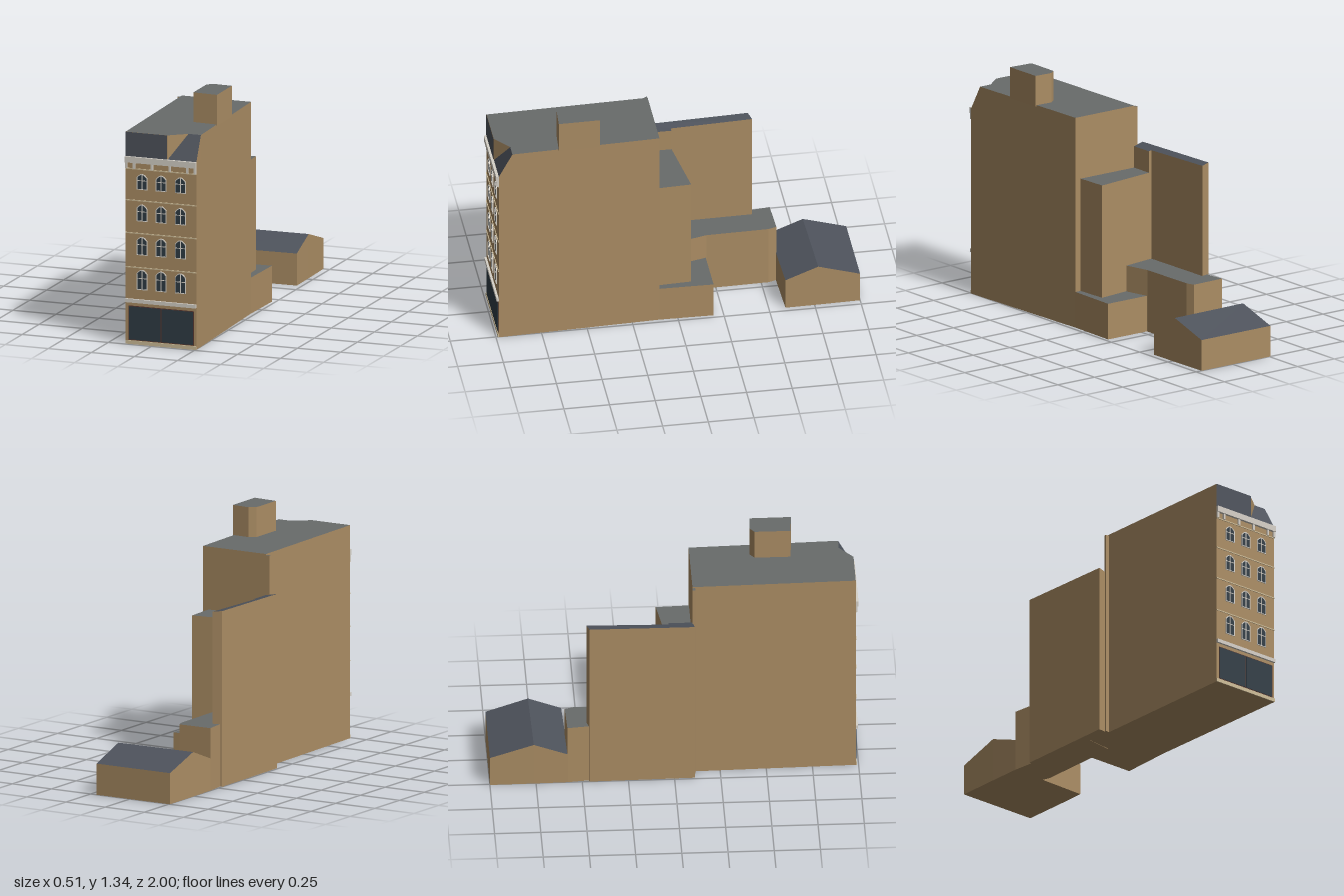
import * as THREE from 'three';

const mat = (color) => new THREE.MeshStandardMaterial({ color, flatShading: true });
const BRICK = mat(0xab8d64), ROOF = mat(0x686b6a), SLATE = mat(0x4e535c);
const STONE = mat(0xd6d1c8), CREAM = mat(0xcfbd98), GLASS = mat(0x2f3c45), TRIM = mat(0x5a3830);

const FRONT = 0.985; // facade plane

function addMesh(parent, name, geometry, material) {
  const m = new THREE.Mesh(geometry, material);
  m.name = name;
  parent.add(m);
  return m;
}

// Flat convex faces, each listed counter-clockwise from outside
function faces(list) {
  const pos = [];
  for (const f of list)
    for (let i = 1; i < f.length - 1; i++) pos.push(...f[0], ...f[i], ...f[i + 1]);
  const g = new THREE.BufferGeometry();
  g.setAttribute('position', new THREE.Float32BufferAttribute(pos, 3));
  g.computeVertexNormals();
  return g;
}

// Upright block over an [x, z] outline; top heights may differ per corner
function block(parent, name, outline, y0, top, roofMat = ROOF) {
  let pts = outline.map(([x, z], i) => ({ x, z, h: Array.isArray(top) ? top[i] : top }));
  const flat = () => pts.map((p) => new THREE.Vector2(p.x, -p.z));
  if (THREE.ShapeUtils.area(flat()) < 0) pts = pts.reverse();
  const tris = THREE.ShapeUtils.triangulateShape(flat(), []);
  const lo = (p) => [p.x, y0, p.z], hi = (p) => [p.x, p.h, p.z];
  const walls = pts.map((a, i) => {
    const b = pts[(i + 1) % pts.length];
    return [lo(a), lo(b), hi(b), hi(a)];
  });
  const floor = tris.map(([a, b, c]) => [lo(pts[c]), lo(pts[b]), lo(pts[a])]);
  const group = new THREE.Group();
  group.name = name;
  addMesh(group, name + 'Walls', faces([...walls, ...floor]), BRICK);
  addMesh(group, name + 'Roof', faces(tris.map((t) => t.map((i) => hi(pts[i])))), roofMat);
  parent.add(group);
}

// Box on the facade given by its front-view rectangle and projection
function panel(parent, name, x0, x1, y0, y1, depth, material) {
  const m = addMesh(parent, name, new THREE.BoxGeometry(x1 - x0, y1 - y0, depth), material);
  m.position.set((x0 + x1) / 2, (y0 + y1) / 2, FRONT + depth / 2);
}

// Outline with a segmental arch on top
function archPath(Type, w, h, rise) {
  const p = new Type();
  p.moveTo(-w / 2, 0);
  p.lineTo(w / 2, 0);
  p.lineTo(w / 2, h - rise);
  p.quadraticCurveTo(w / 4, h, 0, h);
  p.quadraticCurveTo(-w / 4, h, -w / 2, h - rise);
  p.closePath();
  return p;
}

function archedWindow(x, y, h) {
  const g = new THREE.Group();
  g.name = 'window';
  const w = 0.062;
  const frame = archPath(THREE.Shape, w, h, 0.022);
  const hole = archPath(THREE.Path, w - 0.008, h - 0.009, 0.019);
  frame.holes.push(new THREE.Path(hole.getPoints(6).map((p) => p.add(new THREE.Vector2(0, 0.004)))));
  addMesh(g, 'windowFrame', new THREE.ExtrudeGeometry(frame, { depth: 0.005, bevelEnabled: false, curveSegments: 6 }), STONE);
  const glass = addMesh(g, 'windowGlass', new THREE.ShapeGeometry(archPath(THREE.Shape, w - 0.004, h - 0.003, 0.021), 6), GLASS);
  glass.position.z = 0.002;
  const upright = addMesh(g, 'mullion', new THREE.BoxGeometry(0.005, h - 0.008, 0.004), STONE);
  upright.position.set(0, h / 2, 0.002);
  const bar = addMesh(g, 'transom', new THREE.BoxGeometry(w - 0.006, 0.004, 0.004), STONE);
  bar.position.set(0, h * 0.57, 0.002);
  g.position.set(x, y, FRONT);
  return g;
}

export function createModel() {
  const model = new THREE.Group();
  model.name = 'townhouse';

  // Main house, attic storey and mansard
  block(model, 'mainHouse', [[-0.155, FRONT], [0.255, FRONT], [0.225, 0.1], [-0.176, 0.1]], 0, 1.04);
  block(model, 'attic', [[-0.155, FRONT], [0.087, FRONT], [0.18, 0.91], [0.2525, 0.91], [0.225, 0.1], [-0.176, 0.1]], 1.04, 1.177);
  addMesh(model, 'mansardFront', faces([
    [[-0.155, 1.04, 0.987], [0.087, 1.04, 0.987], [0.087, 1.177, 0.987], [-0.155, 1.177, 0.987]],
    [[0.087, 1.04, FRONT], [0.255, 1.04, FRONT], [0.2525, 1.177, 0.91], [0.18, 1.177, 0.91]],
  ]), SLATE);
  addMesh(model, 'mansardCheek', faces([
    [[0.255, 1.04, FRONT], [0.2525, 1.04, 0.91], [0.2525, 1.177, 0.91]],
  ]), BRICK);
  block(model, 'chimney', [[0.245, 0.655], [0.105, 0.645], [0.105, 0.45], [0.14, 0.425], [0.243, 0.43]], 1.17, 1.342);
  block(model, 'sidePier', [[-0.197, 0.1], [-0.197, 0.115], [-0.17, 0.115], [-0.17, 0.1]], 0, 1.17);

  // Rear additions
  block(model, 'stairTower', [[-0.18, -0.03], [0.182, -0.08], [0.19, 0.1], [-0.176, 0.1]], 0, 0.83);
  block(model, 'yardBlock', [[-0.035, -0.195], [0.23, -0.195], [0.225, 0.1], [-0.05, 0.1]], 0, 0.2);
  block(model, 'rearLink', [[-0.25, -0.58], [-0.055, -0.585], [-0.04, -0.54], [-0.035, -0.2], [0, -0.06], [-0.19, -0.03]], 0, 0.345);
  block(model, 'partyWall', [[-0.25, -0.46], [-0.197, -0.475], [-0.192, -0.03], [-0.24, 0.11]], 0, [0.97, 0.963, 0.953, 0.962], SLATE);
  block(model, 'partyWallEnd', [[-0.192, -0.03], [-0.174, -0.03], [-0.174, 0.1], [-0.24, 0.11]], 0, [0.953, 0.95, 0.95, 0.962], SLATE);

  // Gabled rear building, two halves meeting at the ridge
  const ridge = [[0.218, -0.77], [-0.254, -0.762]];
  block(model, 'rearHouseBack', [[-0.257, -1], [0.213, -1], ...ridge], 0, [0.172, 0.172, 0.246, 0.246], SLATE);
  block(model, 'rearHouseFront', [...ridge, [-0.25, -0.577], [0.22, -0.59]], 0, [0.246, 0.246, 0.177, 0.178], SLATE);

  // Facade bands
  const facade = new THREE.Group();
  facade.name = 'facade';
  model.add(facade);
  panel(facade, 'cornice', -0.155, 0.255, 1.01, 1.043, 0.015, STONE);
  panel(facade, 'frieze', -0.155, 0.255, 0.972, 0.978, 0.004, CREAM);
  for (const x of [-0.149, -0.104, 0, 0.103, 0.205, 0.249])
    panel(facade, 'corniceBracket', x - 0.006, x + 0.006, 0.977, 1.012, 0.01, STONE);
  for (const y of [0.8, 0.618, 0.428])
    panel(facade, 'stringCourse', -0.155, 0.255, y - 0.003, y + 0.003, 0.004, CREAM);
  panel(facade, 'shopCornice', -0.155, 0.255, 0.232, 0.252, 0.012, STONE);
  panel(facade, 'plinth', -0.155, 0.255, 0, 0.02, 0.005, CREAM);

  // Shop front
  panel(facade, 'shopSurround', -0.138, 0.241, 0.022, 0.213, 0.002, TRIM);
  for (const [x0, x1] of [[-0.134, 0.049], [0.054, 0.237]])
    panel(facade, 'shopGlass', x0, x1, 0.026, 0.209, 0.004, GLASS);

  // Upper windows, shorter towards the top
  for (const [y, h] of [[0.305, 0.112], [0.498, 0.102], [0.686, 0.094], [0.862, 0.088]])
    for (const x of [-0.06, 0.052, 0.163]) facade.add(archedWindow(x, y, h));

  return model;
}
